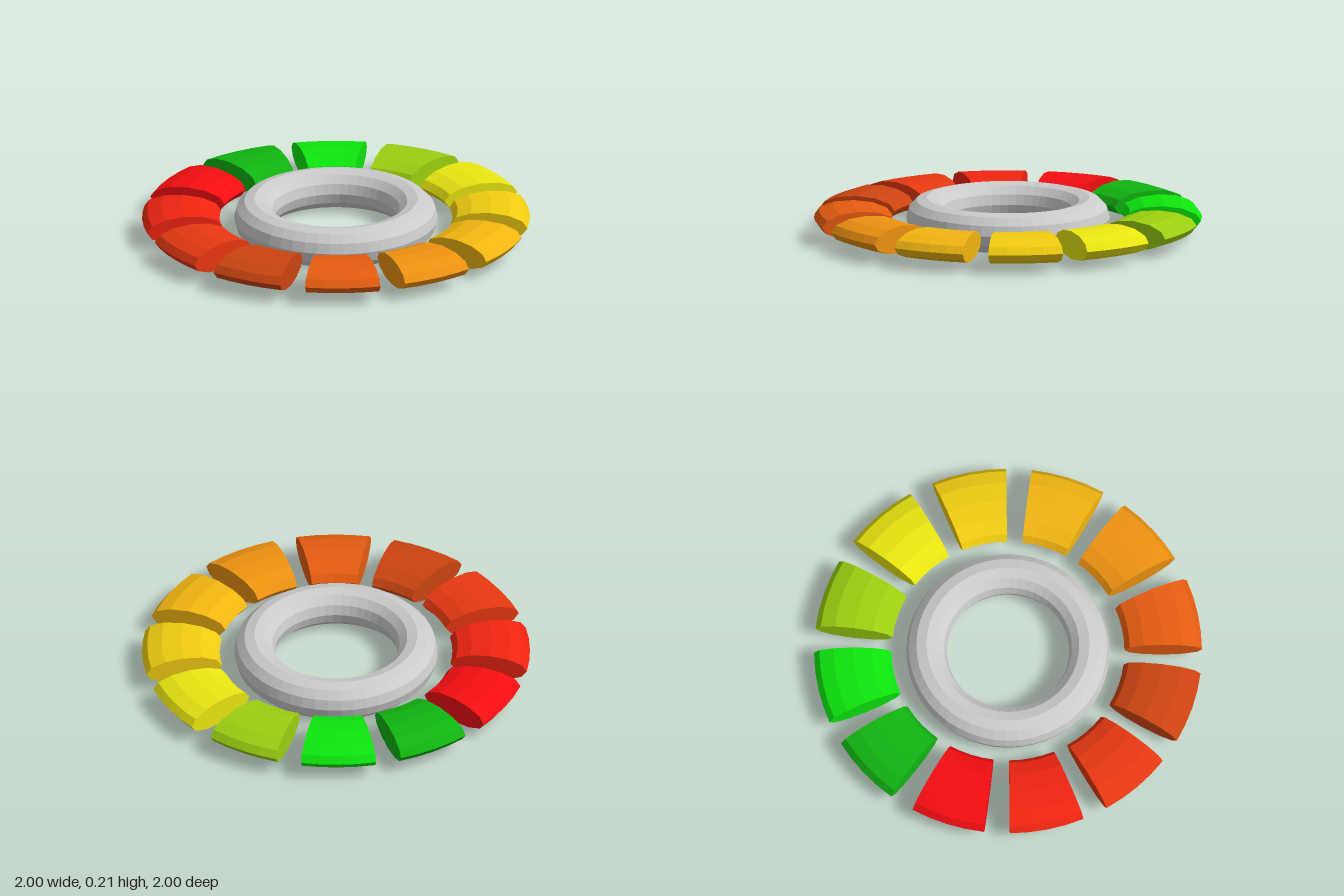
import * as THREE from 'three';
import { mergeGeometries } from 'three/addons/utils/BufferGeometryUtils.js';

const CENTRE_Y = 0.107;

// Closed arc of a flattened torus, lying flat, starting at +x and turning towards -z
function arcBlock(radius, tube, flatten, arc) {
  const startCap = new THREE.CircleGeometry(tube, 12).rotateX(Math.PI / 2).translate(radius, 0, 0);
  const endCap = new THREE.CircleGeometry(tube, 12).rotateX(-Math.PI / 2).translate(radius, 0, 0).rotateZ(arc);
  const body = new THREE.TorusGeometry(radius, tube, 12, 4, arc);
  return mergeGeometries([body, startCap, endCap]).scale(1, 1, flatten).rotateX(-Math.PI / 2);
}

export function createModel() {
  const model = new THREE.Group();

  // Grey centre ring
  const ring = new THREE.Mesh(
    new THREE.TorusGeometry(0.42, 0.105, 12, 48).rotateX(-Math.PI / 2),
    new THREE.MeshStandardMaterial({ color: 0xcccccc, flatShading: true })
  );
  ring.name = 'centreRing';
  ring.position.y = CENTRE_Y;
  model.add(ring);

  // Twelve coloured blocks around the ring
  const blocks = new THREE.Group();
  blocks.name = 'colourBlocks';
  const colors = [
    0x9ccf11, 0x0de60d, 0x11b511, 0xf50d11, 0xf02411, 0xe63811,
    0xcc4411, 0xe65c11, 0xee9211, 0xf2b611, 0xf0cc11, 0xe9e611
  ];
  const geometry = arcBlock(0.8, 0.2, 0.365, THREE.MathUtils.degToRad(22.4));
  colors.forEach((color, i) => {
    const block = new THREE.Mesh(geometry, new THREE.MeshStandardMaterial({ color, flatShading: true }));
    block.name = `colourBlock${i + 1}`;
    block.position.y = CENTRE_Y;
    block.rotation.y = THREE.MathUtils.degToRad(1.7 + 30 * i);
    blocks.add(block);
  });
  model.add(blocks);

  return model;
}
